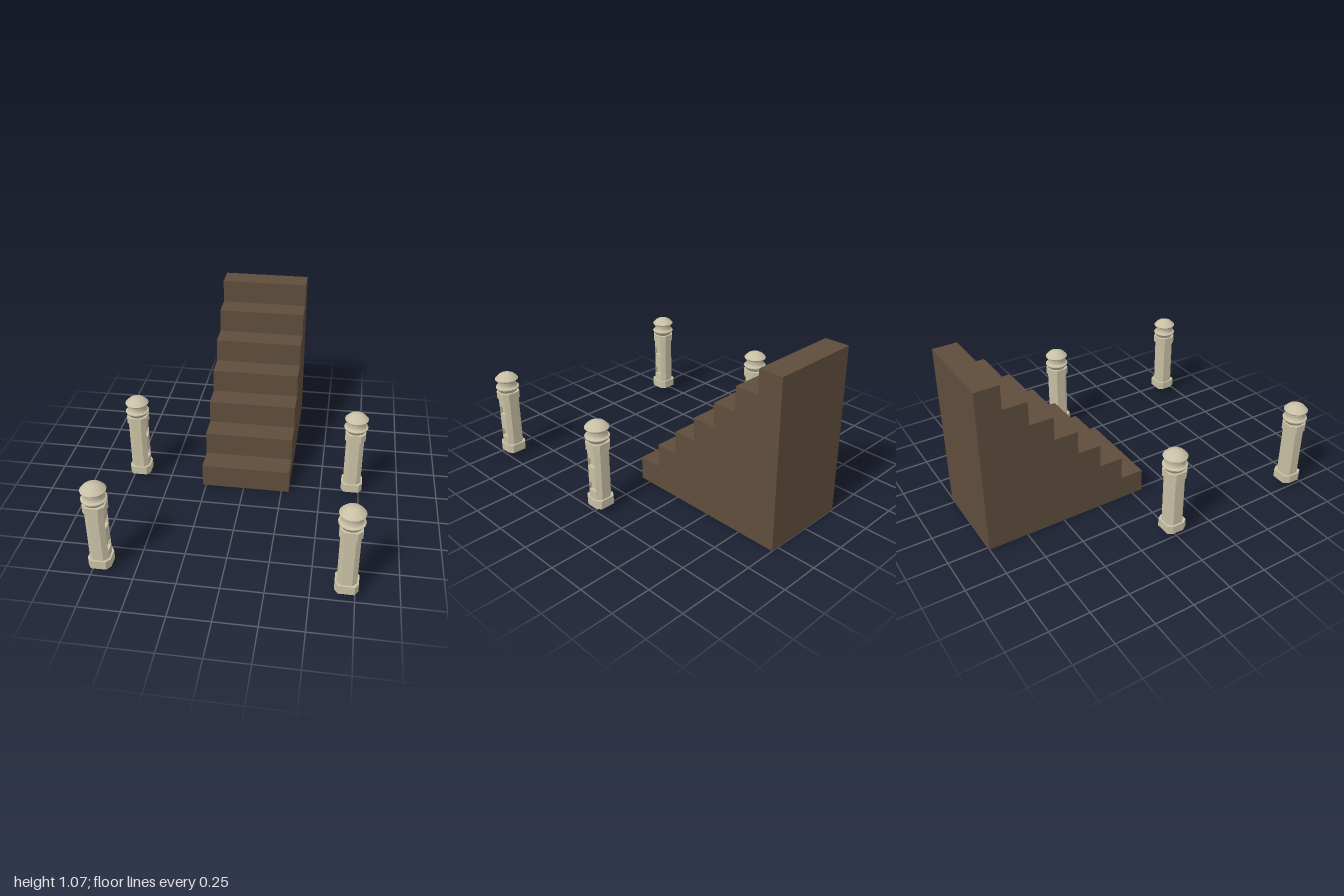
import * as THREE from 'three';
import { toCreasedNormals } from 'three/addons/utils/BufferGeometryUtils.js';

const wood = new THREE.MeshStandardMaterial({ color: 0x5f4d3c });
const stone = new THREE.MeshStandardMaterial({ color: 0xc8c0a5 });

function addMesh(parent, name, geometry, material) {
  const mesh = new THREE.Mesh(geometry, material);
  mesh.name = name;
  parent.add(mesh);
}

// Chamfered square prism from y0 to y1; a notch sinks into its +x face.
function prism(r, flatX, flatZ, y0, y1, notch = 0) {
  const pts = [[r, -flatZ], [r, flatZ], [flatX, r], [-flatX, r],
    [-r, flatZ], [-r, -flatZ], [-flatX, -r], [flatX, -r]];
  if (notch) pts.splice(1, 0, [r - notch, -flatZ], [r - notch, flatZ]);
  const shape = new THREE.Shape(pts.map(([x, y]) => new THREE.Vector2(x, y)));
  const geometry = new THREE.ExtrudeGeometry(shape, { depth: y1 - y0, bevelEnabled: false });
  return geometry.rotateX(-Math.PI / 2).translate(0, y0, 0);
}

function createStaircase() {
  const steps = 7, front = -0.07, back = 1, height = 1.07;
  const run = (back - front) / steps, rise = height / steps;
  const shape = new THREE.Shape();
  shape.moveTo(front, 0);
  for (let i = 0; i < steps; i++) {
    shape.lineTo(front + i * run, (i + 1) * rise);
    shape.lineTo(front + (i + 1) * run, (i + 1) * rise);
  }
  shape.lineTo(back, 0);
  const geometry = new THREE.ExtrudeGeometry(shape, { depth: 0.57, bevelEnabled: false });
  return geometry.rotateY(Math.PI / 2).translate(-0.272, 0, 0);
}

function createPillar() {
  const pillar = new THREE.Group();
  addMesh(pillar, 'pillarBase', prism(0.067, 0.046, 0.036, 0.04, 0.095), stone);

  // Shaft in stacked sections, with two recesses on the +x side
  const levels = [0.095, 0.147, 0.2, 0.31, 0.365, 0.42];
  for (let i = 0; i < 5; i++) {
    const notch = i % 2 ? 0.02 : 0;
    addMesh(pillar, notch ? 'recessedShaft' : 'shaft',
      prism(0.056, 0.029, 0.031, levels[i], levels[i + 1], notch), stone);
  }
  addMesh(pillar, 'capital', prism(0.064, 0.036, 0.034, 0.42, 0.47), stone);

  // Turned finial: flared ring, waist and domed cap
  const profile = [[0, 0.466], [0.05, 0.467], [0.06, 0.476], [0.075, 0.498], [0.075, 0.503],
    [0.064, 0.509], [0.058, 0.522], [0.06, 0.545], [0.073, 0.555], [0.074, 0.56],
    [0.052, 0.583], [0.03, 0.594], [0, 0.6]].map(([x, y]) => new THREE.Vector2(x, y));
  addMesh(pillar, 'finial', toCreasedNormals(new THREE.LatheGeometry(profile, 16), 0.55), stone);
  return pillar;
}

export function createModel() {
  const model = new THREE.Group();
  model.name = 'staircaseWithPillars';
  addMesh(model, 'staircase', createStaircase(), wood);

  // Four freestanding pillars
  for (const x of [-0.7, 0.7]) {
    for (const z of [0, 0.92]) {
      const pillar = createPillar();
      pillar.name = (z ? 'front' : 'rear') + (x > 0 ? 'Left' : 'Right') + 'Pillar';
      pillar.position.set(x, 0, z);
      model.add(pillar);
    }
  }
  return model;
}
